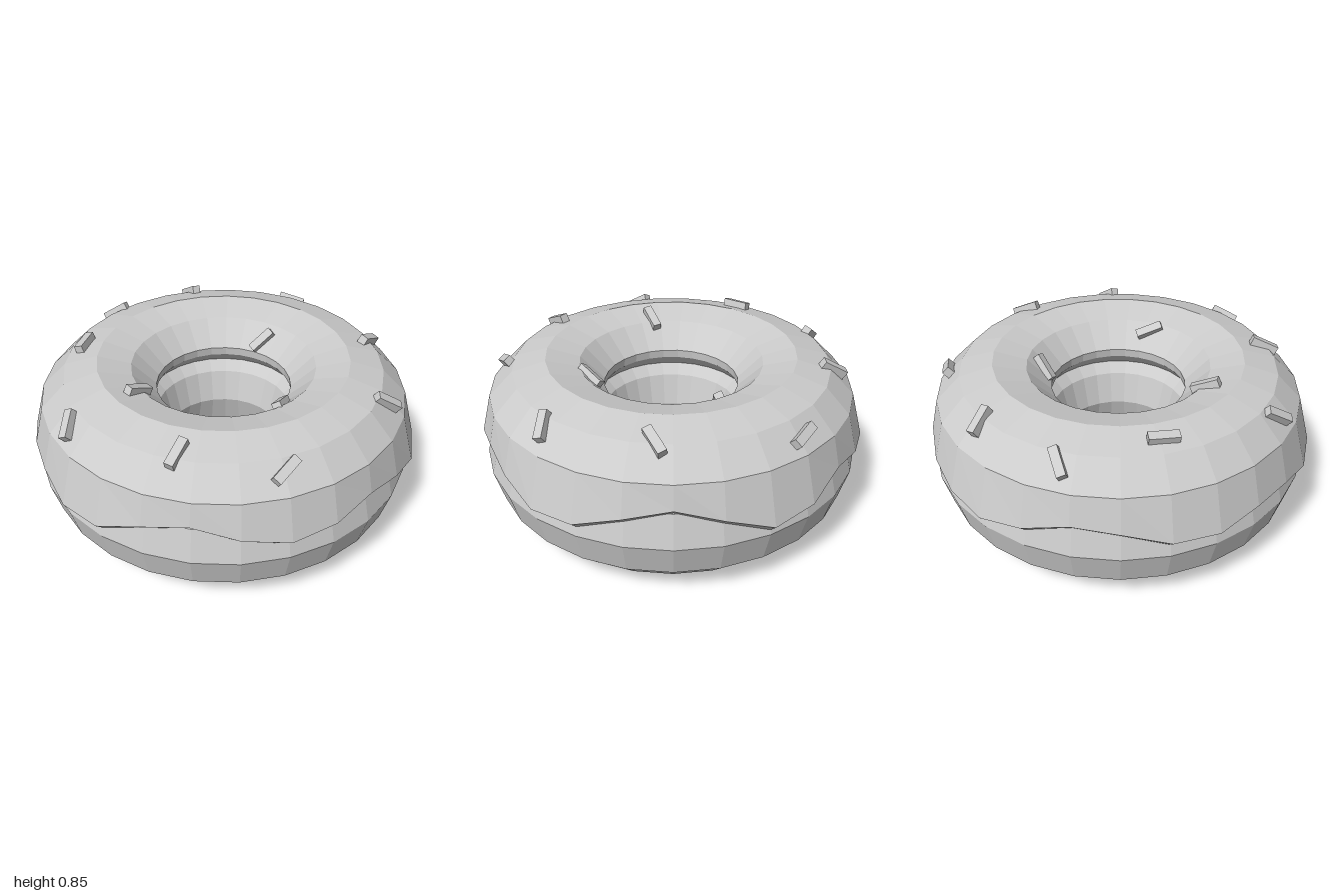
import * as THREE from 'three';

const RING = 0.645, TUBE = 0.335, SIDES = 27;
const ICING_Y = 0.49, ICING_R = 0.34;

// Heights of the wavy icing edge, one per segment, starting at +x
const RIM = [
  0.54, 0.48, 0.40, 0.425, 0.50, 0.46, 0.43, 0.41, 0.45,
  0.51, 0.49, 0.43, 0.42, 0.46, 0.46, 0.41, 0.42, 0.50,
  0.54, 0.485, 0.445, 0.465, 0.51, 0.47, 0.41, 0.42, 0.49,
];

// Sprinkles: x, z and the direction (dx, dz) they point in from above
const SPRINKLES = [
  [-0.36, -0.775, 0.12, 0.06], [0.11, -0.82, 0.03, 0.13],
  [0.665, -0.585, 0.12, 0.09], [-0.63, -0.39, 0.10, -0.13],
  [0.32, -0.23, 0.13, 0.01], [0.80, 0.08, 0.13, -0.08],
  [-0.485, 0.105, 0.14, -0.07], [-0.85, 0.19, 0.08, -0.14],
  [0.14, 0.41, 0.11, -0.12], [-0.465, 0.635, 0.12, -0.10],
  [0.62, 0.585, 0.13, 0.02], [-0.045, 0.86, 0.13, -0.06],
];

const material = new THREE.MeshStandardMaterial({ color: 0xcccccc, flatShading: true });
const icingMaterial = new THREE.MeshStandardMaterial({
  color: 0xcccccc, flatShading: true, side: THREE.DoubleSide,
});

function addMesh(parent, name, geometry, mat = material) {
  const mesh = new THREE.Mesh(geometry, mat);
  mesh.name = name;
  parent.add(mesh);
  return mesh;
}

// Icing: a lathed cap whose first three rings follow the wavy edge
function icingGeometry() {
  const arc = [30, 60, 90, 120, 150].map((deg) => {
    const a = THREE.MathUtils.degToRad(deg);
    return new THREE.Vector2(RING + ICING_R * Math.cos(a), ICING_Y + ICING_R * Math.sin(a));
  });
  const edge = [0, 1, 2].map(() => new THREE.Vector2(1, 0.45));
  const innerLip = [new THREE.Vector2(0.355, 0.615), new THREE.Vector2(0.41, 0.55)];
  const profile = [...edge, ...arc, ...innerLip];
  const geometry = new THREE.LatheGeometry(profile, SIDES, Math.PI / 2);
  const pos = geometry.attributes.position;
  for (let i = 0; i <= SIDES; i++) {
    const y = RIM[i % SIDES];
    const r = 0.965 + (0.54 - y) * 0.35;
    const angle = Math.PI / 2 + (i / SIDES) * Math.PI * 2;
    // Tucked-in end, underside of the lip, outer rim
    [[r - 0.1, y - 0.04], [r - 0.045, y - 0.045], [r, y]].forEach(([pr, py], j) => {
      pos.setXYZ(i * profile.length + j, pr * Math.sin(angle), py, pr * Math.cos(angle));
    });
  }
  geometry.computeVertexNormals();
  return geometry;
}

// Lay a sprinkle flat on the icing at a given spot
function placeSprinkle(mesh, [x, z, dx, dz]) {
  const r = Math.hypot(x, z);
  const c = (r - RING) / ICING_R;
  const s = Math.sqrt(1 - c * c);
  const normal = new THREE.Vector3((c * x) / r, s, (c * z) / r);
  const along = new THREE.Vector3(dx, -(normal.x * dx + normal.z * dz) / s, dz).normalize();
  const across = new THREE.Vector3().crossVectors(along, normal);
  mesh.quaternion.setFromRotationMatrix(new THREE.Matrix4().makeBasis(along, normal, across));
  mesh.position.set(x, ICING_Y + ICING_R * s, z);
}

export function createModel() {
  const model = new THREE.Group();
  model.name = 'doughnut';

  // Dough ring
  const dough = new THREE.TorusGeometry(RING, TUBE, 12, SIDES);
  dough.rotateX(-Math.PI / 2).translate(0, TUBE, 0);
  addMesh(model, 'dough', dough);

  addMesh(model, 'icing', icingGeometry(), icingMaterial);

  // Sprinkles
  const sprinkles = new THREE.Group();
  sprinkles.name = 'sprinkles';
  model.add(sprinkles);
  const stick = new THREE.BoxGeometry(0.145, 0.05, 0.045);
  SPRINKLES.forEach((spot, i) => {
    placeSprinkle(addMesh(sprinkles, `sprinkle${i + 1}`, stick), spot);
  });

  return model;
}
